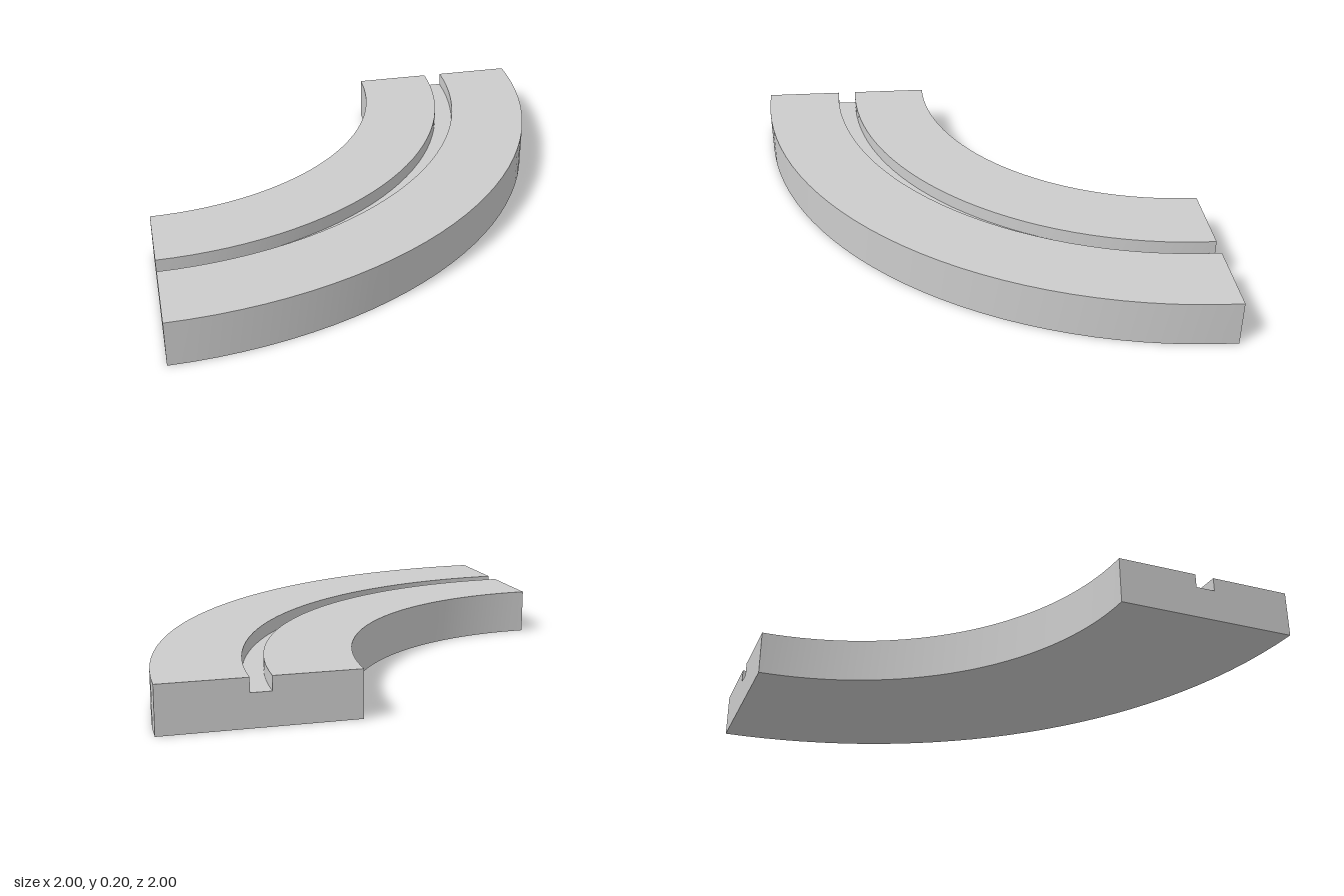
import * as THREE from 'three';
import { toCreasedNormals } from 'three/addons/utils/BufferGeometryUtils.js';

const INNER = 1.2, OUTER = 2, HEIGHT = 0.2;
const GROOVE_IN = 1.557, GROOVE_OUT = 1.643, GROOVE_FLOOR = 0.14;

export function createModel() {
  const model = new THREE.Group();
  model.name = 'curvedTrack';

  // Cross-section as (radius, height), with a square groove in the top
  const section = new THREE.Shape([
    [INNER, 0], [OUTER, 0], [OUTER, HEIGHT],
    [GROOVE_OUT, HEIGHT], [GROOVE_OUT, GROOVE_FLOOR],
    [GROOVE_IN, GROOVE_FLOOR], [GROOVE_IN, HEIGHT], [INNER, HEIGHT],
  ].map(([r, y]) => new THREE.Vector2(r, y)));

  // Extrude straight, then bend the length into a quarter turn
  const geometry = new THREE.ExtrudeGeometry(section, {
    depth: Math.PI / 2, steps: 32, bevelEnabled: false,
  });
  const pos = geometry.attributes.position;
  for (let i = 0; i < pos.count; i++) {
    const r = pos.getX(i), angle = pos.getZ(i);
    pos.setXYZ(i, r * Math.cos(angle) - 1, pos.getY(i), r * Math.sin(angle) - 1);
  }

  const track = new THREE.Mesh(
    toCreasedNormals(geometry, 0.5),
    new THREE.MeshStandardMaterial({ color: 0xcccccc }),
  );
  track.name = 'groovedCurve';
  model.add(track);
  return model;
}
